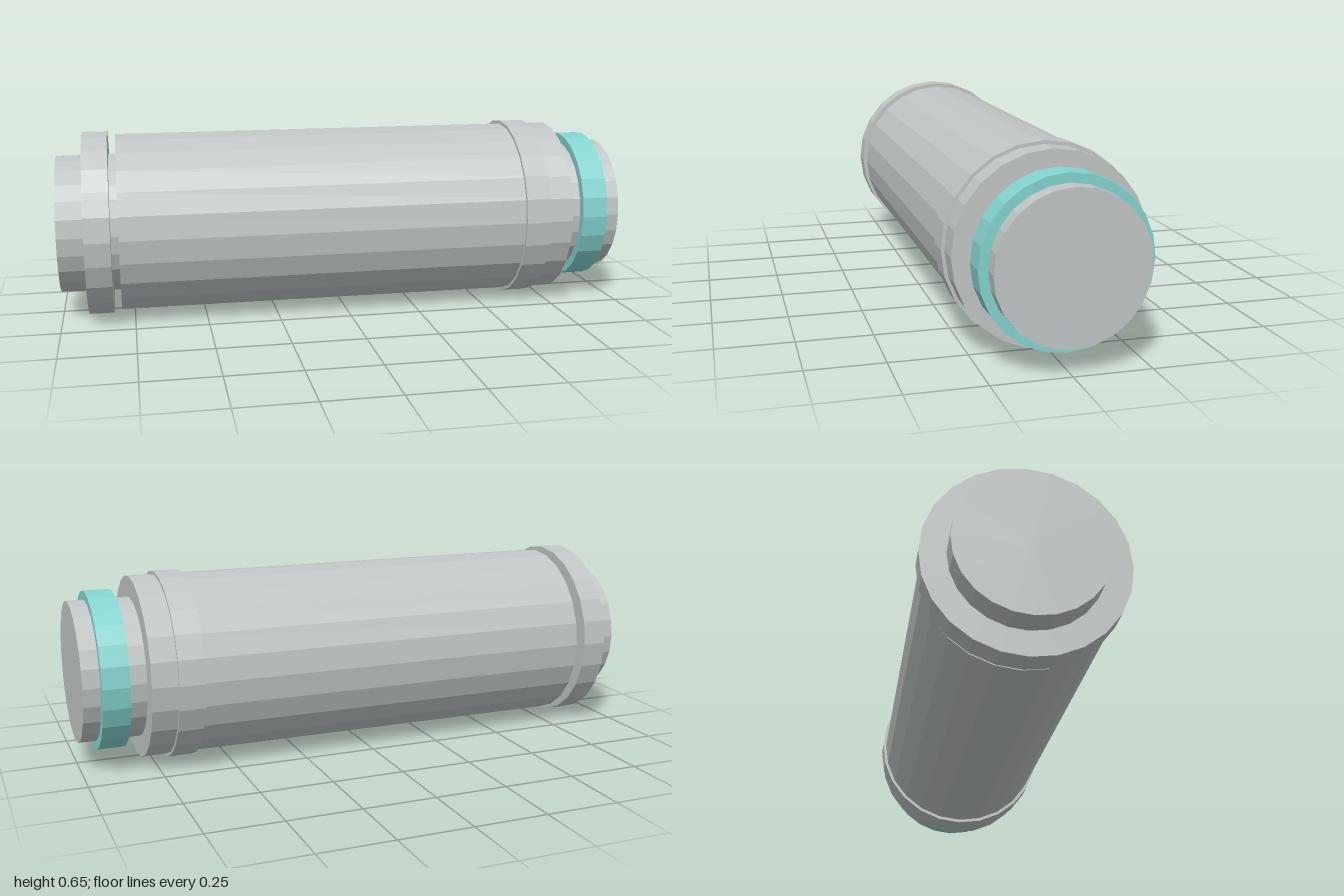
import * as THREE from 'three';

export function createModel() {
  const model = new THREE.Group();
  model.name = 'cylinderCapsule';

  const grey = new THREE.MeshStandardMaterial({ color: 0xc0c6c5 });
  grey.name = 'light grey metal';
  const teal = new THREE.MeshStandardMaterial({ color: 0x84d4cf });
  teal.name = 'pale teal';

  const axisY = 0.323;

  // Faceted 24-sided drum lying along x from x0 to x1
  function drum(name, x0, x1, radius, material) {
    const geometry = new THREE.CylinderGeometry(radius, radius, x1 - x0, 24)
      .rotateZ(-Math.PI / 2)
      .toNonIndexed();
    geometry.computeVertexNormals();
    const mesh = new THREE.Mesh(geometry, material);
    mesh.name = name;
    mesh.position.set((x0 + x1) / 2, axisY, 0);
    model.add(mesh);
  }

  // Inner core shows at both ends and in the gap beside the body
  drum('core', -1, 1, 0.24, grey);
  drum('body', -0.795, 0.793, 0.312, grey);

  // Raised collars and the coloured band
  drum('rightCollar', -0.908, -0.822, 0.323, grey);
  drum('leftCollar', 0.619, 0.707, 0.323, grey);
  drum('colouredBand', 0.852, 0.943, 0.27, teal);

  return model;
}
